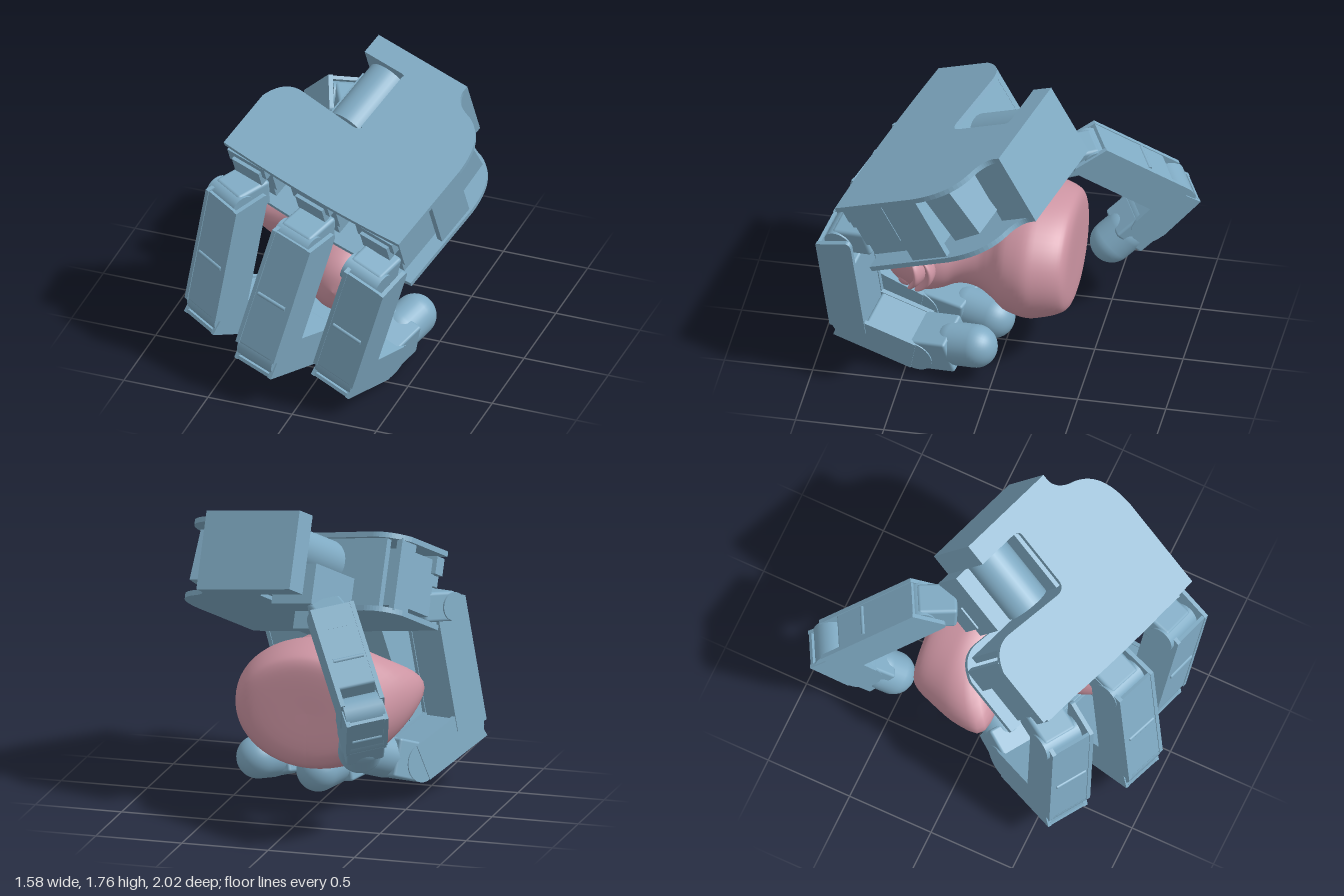
import * as THREE from 'three';
import { RoundedBoxGeometry } from 'three/addons/geometries/RoundedBoxGeometry.js';

const blue = new THREE.MeshStandardMaterial({ color: 0x80abc4 });
const pink = new THREE.MeshStandardMaterial({ color: 0xcc94a2 });
const V = (a) => new THREE.Vector3(...a);

function add(parent, name, geo, mat = blue, pos = [0, 0, 0]) {
  const m = new THREE.Mesh(geo, mat);
  m.name = name;
  m.position.set(...pos);
  parent.add(m);
  return m;
}

// group whose local axes are x, y and x cross y
function frame(parent, name, origin, x, y) {
  const g = new THREE.Group();
  const X = x.clone().normalize();
  const Z = new THREE.Vector3().crossVectors(X, y).normalize();
  const Y = new THREE.Vector3().crossVectors(Z, X);
  g.name = name;
  g.quaternion.setFromRotationMatrix(new THREE.Matrix4().makeBasis(X, Y, Z));
  g.position.copy(origin);
  parent.add(g);
  return g;
}

const barrel = (r, w) => new THREE.CylinderGeometry(r, r, w, 24).rotateZ(Math.PI / 2);

// box from ranges in palm coordinates: across, towards wrist, up
function palmBox(g, name, [u0, u1], [v0, v1], [n0, n1]) {
  return add(g, name, new THREE.BoxGeometry(u1 - u0, n1 - n0, v1 - v0), blue,
    [(u0 + u1) / 2, (n0 + n1) / 2, -(v0 + v1) / 2]);
}

function plateShape() {
  const s = new THREE.Shape();
  s.moveTo(-1.245, 0);
  s.quadraticCurveTo(-0.6, -0.04, 0, 0);
  s.lineTo(0, 0.56);
  s.bezierCurveTo(-0.01, 0.74, -0.07, 0.83, -0.17, 0.87);
  s.quadraticCurveTo(-0.29, 0.9, -0.3, 0.98);
  s.lineTo(-0.3, 1.02);
  s.lineTo(-0.93, 1.02);
  s.lineTo(-0.93, 0.89);
  s.lineTo(-0.67, 0.89);
  s.quadraticCurveTo(-0.63, 0.89, -0.63, 0.85);
  s.lineTo(-0.63, 0.53);
  s.quadraticCurveTo(-0.63, 0.47, -0.69, 0.47);
  s.lineTo(-1.08, 0.5);
  s.quadraticCurveTo(-1.2, 0.5, -1.245, 0.36);
  return s;
}

function buildPalm(root) {
  const g = frame(root, 'palm', V([0.58, 1.17, 0.86]), V([0.944, -0.16, 0.288]), V([0, 0.885, 0.465]));
  const plate = new THREE.ExtrudeGeometry(plateShape(), { depth: 0.03, bevelEnabled: false, curveSegments: 12 });
  plate.rotateX(-Math.PI / 2);
  add(g, 'topPlate', plate, blue, [0, -0.03, 0]);
  add(g, 'bottomPlate', plate, blue, [0, -0.45, 0]);
  palmBox(g, 'wristBlock', [-0.93, -0.3], [0.89, 1.02], [-0.45, 0]);
  palmBox(g, 'wristBlockInner', [-0.63, -0.3], [0.79, 1.02], [-0.448, -0.002]);
  // side walls and inner supports
  palmBox(g, 'rightWall', [-0.05, -0.015], [0.31, 0.56], [-0.43, -0.02]);
  palmBox(g, 'leftWall', [-1.225, -1.19], [0.28, 0.42], [-0.43, -0.02]);
  palmBox(g, 'notchWall', [-0.66, -0.635], [0.5, 0.89], [-0.43, -0.02]);
  palmBox(g, 'innerWall', [-1.15, -0.1], [0.42, 0.46], [-0.43, -0.02]);
  const sideMotor = palmBox(g, 'sideMotor', [-0.4, -0.09], [0.58, 0.78], [-0.36, -0.06]);
  sideMotor.rotation.x = 0.15;
  // motor behind each finger, with stepped flanges
  for (const u of [-0.17, -0.63, -1.08]) {
    palmBox(g, 'fingerMotor', [u - 0.11, u + 0.11], [0.03, 0.33], [-0.38, -0.06]);
    palmBox(g, 'motorFlange', [u - 0.14, u + 0.12], [-0.01, 0.06], [-0.14, -0.04]);
    palmBox(g, 'motorStep', [u - 0.1, u + 0.09], [-0.03, 0.06], [-0.2, -0.08]);
    palmBox(g, 'motorRib', [u + 0.08, u + 0.13], [0.03, 0.28], [-0.3, -0.05]);
  }
  // thumb drive in the notch
  const drive = add(g, 'thumbDrive', new THREE.CylinderGeometry(0.13, 0.13, 0.38, 32), blue, [-0.79, -0.18, -0.7]);
  drive.rotation.x = Math.PI / 2;
  palmBox(g, 'thumbMount', [-0.99, -0.72], [0.5, 0.88], [-0.5, -0.27]);
  palmBox(g, 'thumbBracket', [-1.0, -0.76], [0.55, 0.7], [-0.6, -0.45]);
}

// one link from a to b: open fork at a, body ending `gap` before b, barrel and cross ridge
// rims = how far the fork reaches past a on the outer and inner side
function buildLink(root, a, b, axis, w, t, rims, gap) {
  const dir = b.clone().sub(a), L = dir.length(), [outer, inner] = rims;
  const g = frame(root, 'link', a, axis, dir);
  const s = new THREE.Shape();
  s.moveTo(t / 2, L);
  s.lineTo(t / 2, -outer);
  s.lineTo(-t / 2 + 0.03, -inner);
  s.quadraticCurveTo(-t / 2, -inner, -t / 2, -inner + 0.04);
  s.lineTo(-t / 2, L);
  const ear = new THREE.ExtrudeGeometry(s, { depth: 0.025, bevelEnabled: false, curveSegments: 8 });
  ear.rotateY(Math.PI / 2);
  for (const x of [-w / 2, w / 2 - 0.025]) add(g, 'sideEar', ear, blue, [x, 0, 0]);
  const y0 = Math.min(0.09, L * 0.3), y1 = L - gap;
  add(g, 'body', new RoundedBoxGeometry(w * 0.97, y1 - y0, t * 0.96, 2, 0.015), blue, [0, (y1 + y0) / 2, 0]);
  add(g, 'outerWall', new THREE.BoxGeometry(w - 0.04, y0 + 0.03 + outer, 0.02), blue,
    [0, (y0 + 0.03 - outer) / 2, -t / 2 + 0.014]);
  add(g, 'endBarrel', barrel(t * 0.46, w * 0.9), blue, [0, L, 0]);
  add(g, 'ridge', barrel(0.012, w * 0.7), blue, [0, L * 0.52, -t * 0.47]);
}

// last link: short body, then a round padded tip
function buildTip(root, a, b, axis, w, t) {
  const dir = b.clone().sub(a), L = dir.length();
  const g = frame(root, 'fingertip', a, axis, dir);
  add(g, 'joint', barrel(t * 0.5, w), blue);
  add(g, 'body', new RoundedBoxGeometry(w * 0.95, L * 0.66, t, 2, 0.015), blue, [0, L * 0.33, 0]);
  add(g, 'pad', new THREE.CapsuleGeometry(0.122, L * 0.4, 12, 32), blue, [0, L * 0.8, 0]);
}

function buildFinger(root, name, points, base, w = 0.275, gap = 0) {
  const g = new THREE.Group();
  g.name = name;
  root.add(g);
  const p = points.map(V), t = 0.22, n = p.length;
  const axis = new THREE.Vector3().crossVectors(p[1].clone().sub(p[0]), p[2].clone().sub(p[1]));
  // knuckle joining the palm to the first link
  const start = V(base), dir = p[0].clone().sub(start), L = dir.length();
  const k = frame(g, 'knuckle', start, axis, dir);
  add(k, 'knuckleBlock', new RoundedBoxGeometry(w - 0.06, L + 0.04, 0.17, 2, 0.02), blue, [0, L / 2, 0]);
  add(k, 'knuckleBarrel', barrel(0.08, w - 0.04), blue, [0, L, 0]);
  buildLink(g, p[0], p[1], axis, w, t, [0.03, 0.1], gap);
  buildLink(g, p[1], p[2], axis, w - 0.01, t, [0.075, 0.05], 0);
  buildTip(g, p[n - 2], p[n - 1], axis, w - 0.02, t);
}

function buildDuck(root) {
  const duck = new THREE.Group();
  duck.name = 'toyDuck';
  root.add(duck);
  // radius by height along z, from flat base to crown
  const pts = [[0, -0.4], [0.2, -0.4], [0.29, -0.385], [0.33, -0.34], [0.36, -0.24], [0.37, -0.15], [0.335, -0.04],
    [0.25, 0.04], [0.185, 0.11], [0.165, 0.18], [0.17, 0.25], [0.2, 0.32], [0.22, 0.4], [0.215, 0.48],
    [0.17, 0.58], [0.1, 0.64], [0, 0.665]];
  const curve = new THREE.SplineCurve(pts.map((q) => new THREE.Vector2(...q)));
  const profile = curve.getPoints(60).map((q) => new THREE.Vector2(Math.max(q.x, 0), q.y));
  const geo = new THREE.LatheGeometry(profile, 56).rotateX(Math.PI / 2);
  const pos = geo.attributes.position;
  for (let i = 0; i < pos.count; i++) {
    let x = pos.getX(i), y = pos.getY(i), z = pos.getZ(i);
    const r = Math.hypot(x, y) || 1;
    const body = 1 - THREE.MathUtils.smoothstep(z, -0.1, 0.14);
    const back = Math.max(0, -x / r);
    // stretch the body and draw its rear out into an upturned tail
    const tail = body * Math.pow(back, 5) * THREE.MathUtils.smoothstep(z, -0.3, -0.02);
    x = x * (1 + 0.27 * body) - 0.11 * tail + 0.11 * (1 - body) - 0.04 * body;
    z += 0.2 * tail;
    pos.setXYZ(i, x, y + 0.635 + 0.07 * tail, z);
  }
  geo.computeVertexNormals();
  add(duck, 'duckBody', geo, pink);
  // curved beak halves and flush eyes on the +x side of the head
  const half = new THREE.SphereGeometry(1, 32, 20).scale(0.12, 0.14, 0.03);
  const hp = half.attributes.position;
  for (let i = 0; i < hp.count; i++) hp.setZ(i, hp.getZ(i) + 4.5 * hp.getY(i) ** 2);
  half.computeVertexNormals();
  for (const [z, sx, tilt] of [[0.41, 1, -0.25], [0.37, 0.8, 0.1]]) {
    const beak = add(duck, 'beak', half, pink, [0.3, 0.635, z]);
    beak.scale.x = sx;
    beak.rotation.y = tilt;
  }
  for (const s of [-1, 1]) {
    const eye = add(duck, 'eye', new THREE.SphereGeometry(0.045, 20, 14), pink, [0.25, 0.635 + s * 0.11, 0.52]);
    eye.scale.x = 0.6;
  }
}

export function createModel() {
  const root = new THREE.Group();
  root.name = 'robotHandHoldingDuck';
  buildPalm(root);
  buildFinger(root, 'rightFinger', [[-0.5, 1.04, 0.57], [-0.61, 0.35, 0.6], [-0.43, 0.21, 0.27], [-0.33, 0.31, 0.02]],
    [-0.44, 1.07, 0.4]);
  buildFinger(root, 'middleFinger', [[-0.05, 0.97, 0.73], [-0.21, 0.31, 0.86], [-0.09, 0.2, 0.44], [0, 0.18, 0.06]],
    [-0.01, 1.01, 0.55]);
  buildFinger(root, 'leftFinger', [[0.42, 0.89, 0.84], [0.23, 0.25, 0.8], [0.29, 0.15, 0.42], [0.285, 0.24, 0.09]],
    [0.42, 0.93, 0.68]);
  buildFinger(root, 'thumb', [[-0.21, 1.2, -0.44], [-0.5, 0.8, -0.84], [-0.45, 0.64, -0.69], [-0.39, 0.48, -0.52]],
    [-0.12, 1.19, -0.28], 0.25, 0.12);
  buildDuck(root);
  return root;
}
